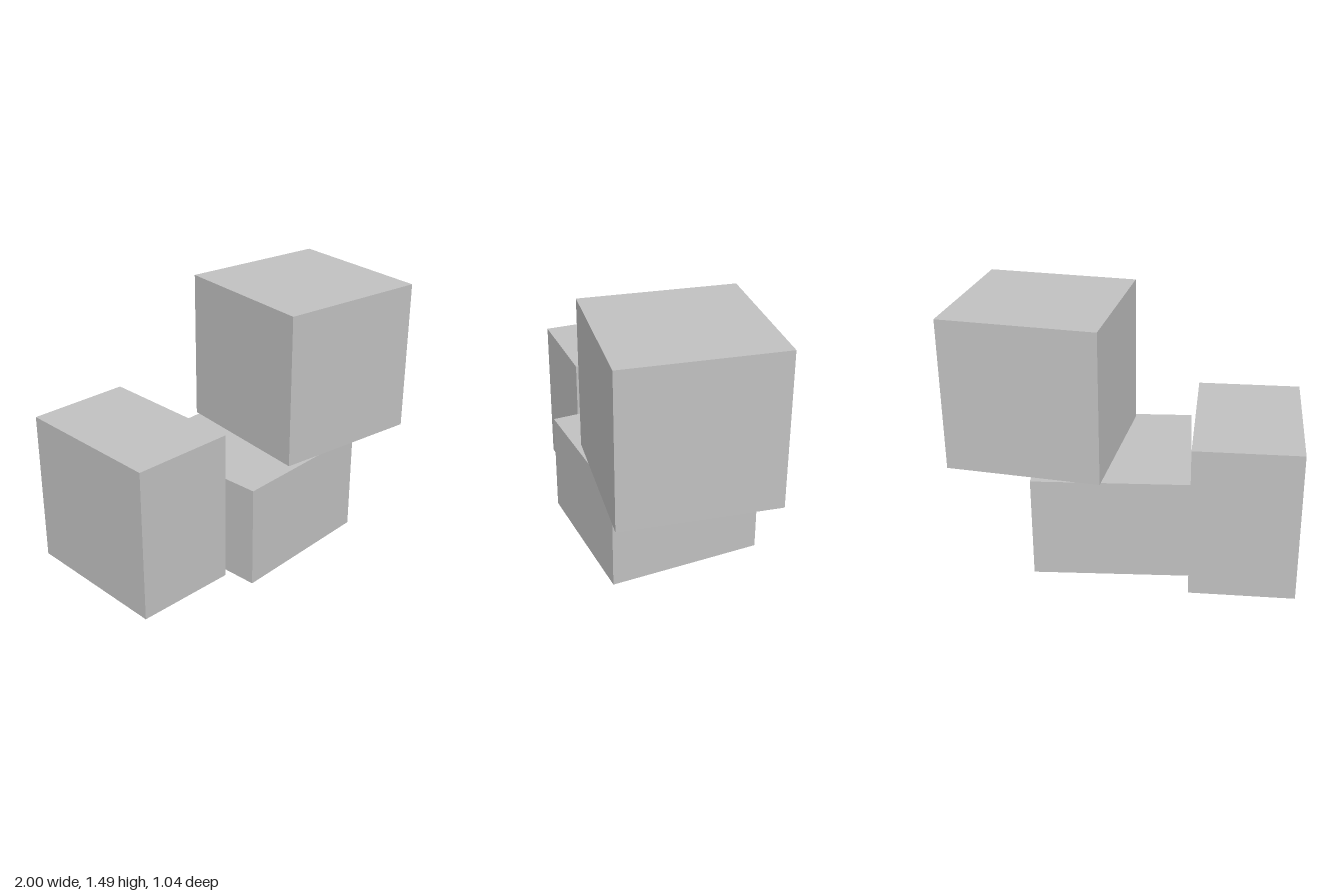
import * as THREE from 'three';

export function createModel() {
  const model = new THREE.Group();
  const grey = new THREE.MeshStandardMaterial({ color: 0xc0c0c0 });
  grey.name = 'light grey';

  // A plain block: size, centre and turn about the vertical axis
  const addBlock = (name, size, centre, turn) => {
    const block = new THREE.Mesh(new THREE.BoxGeometry(...size), grey);
    block.name = name;
    block.position.set(...centre);
    block.rotation.y = turn;
    model.add(block);
  };

  // Tall block standing on its narrow end
  addBlock('uprightBlock', [0.595, 0.893, 0.893], [-0.65, 0.4465, -0.045], 0.126);
  // Flat block lying next to it
  addBlock('lyingBlock', [0.893, 0.597, 0.893], [0.13, 0.2985, -0.002], 0.179);
  // Cube resting on the flat block, overhanging its side
  addBlock('topCube', [0.892, 0.892, 0.892], [0.55, 1.044, -0.03], 0.002);

  return model;
}
